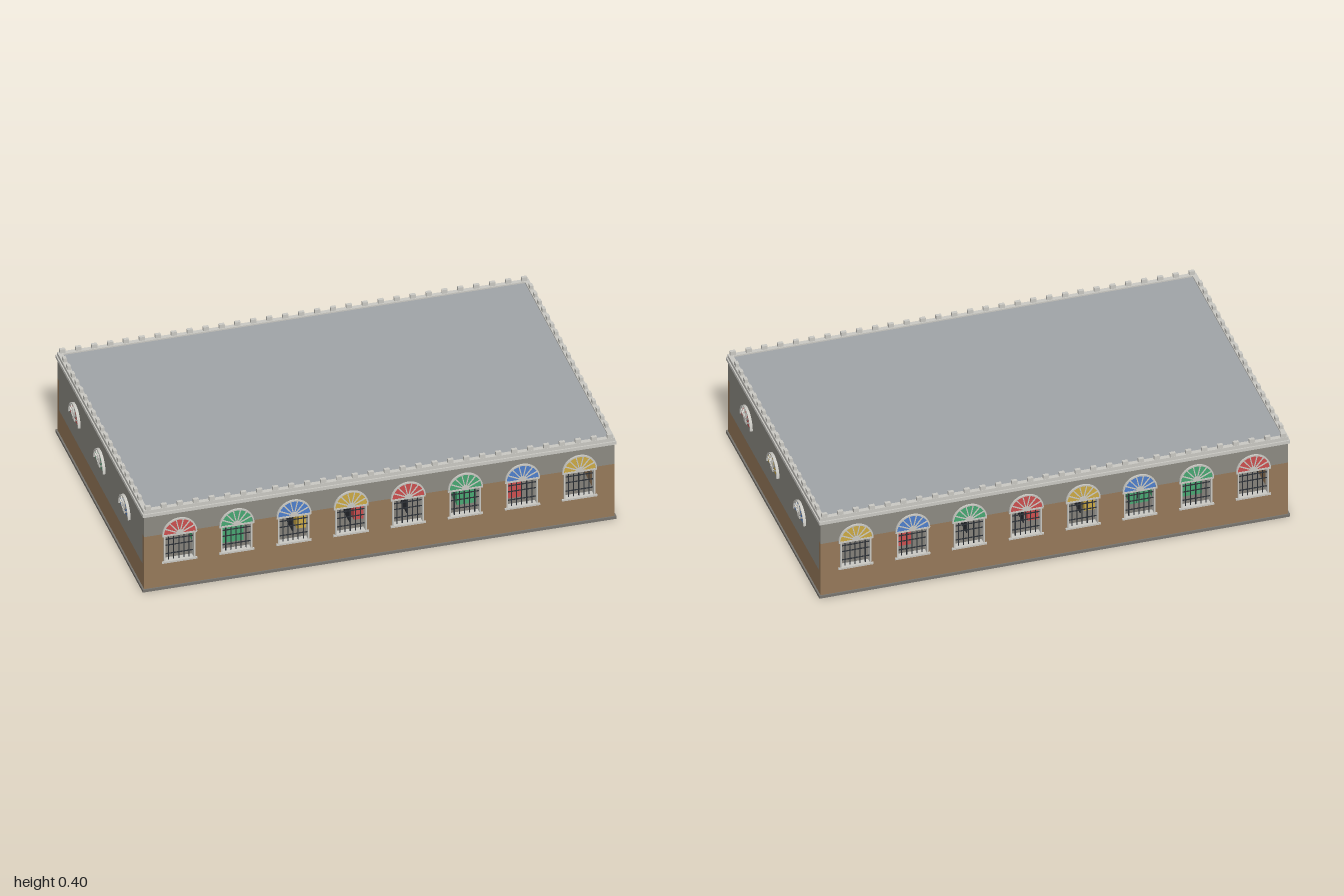
import * as THREE from 'three';

const mat = (name, color) => new THREE.MeshStandardMaterial({ name, color });

export function createModel() {
  const M = {
    stone: mat('grey stone', 0x8c8a82),
    brown: mat('brown plaster', 0x96795a),
    trim: mat('pale trim', 0xcac9c3),
    roof: mat('roof grey', 0xa0a4a8),
    base: mat('foundation grey', 0x77746e),
    iron: mat('dark iron', 0x2e3238),
    red: mat('red glass', 0xcc4f4f),
    green: mat('green glass', 0x48a872),
    blue: mat('blue glass', 0x4f80cc),
    yellow: mat('yellow glass', 0xccaa45),
  };
  const model = new THREE.Group();
  model.name = 'hall';

  const box = (parent, name, m, w, h, d, x, y, z) => {
    const mesh = new THREE.Mesh(new THREE.BoxGeometry(w, h, d), m);
    mesh.name = name;
    mesh.position.set(x, y, z);
    parent.add(mesh);
    return mesh;
  };
  const extrude = (parent, name, m, shape, depth, z) => {
    const geo = new THREE.ExtrudeGeometry(shape, { depth, bevelEnabled: false, curveSegments: 16 });
    const mesh = new THREE.Mesh(geo, m);
    mesh.name = name;
    mesh.position.z = z;
    parent.add(mesh);
    return mesh;
  };
  const rect = (Type, x0, y0, x1, y1) => {
    const p = new Type();
    p.moveTo(x0, y0);
    p.lineTo(x1, y0);
    p.lineTo(x1, y1);
    p.lineTo(x0, y1);
    p.closePath();
    return p;
  };

  const W = 0.988, D = 0.625, T = 0.025;
  const centres = [-0.84, -0.6, -0.36, -0.12, 0.12, 0.36, 0.6, 0.84];
  const tints = ['red', 'green', 'blue', 'yellow'];

  // Half-round coloured fanlight with rim, spokes and hub, facing +z
  const fanlight = (tint, r) => {
    const g = new THREE.Group();
    g.name = 'fanlight';
    const glass = new THREE.Shape();
    glass.absarc(0, 0, r - 0.003, 0, Math.PI, false);
    glass.closePath();
    extrude(g, 'fanGlass', M[tint], glass, 0.004, 0);
    const rim = new THREE.Shape();
    rim.absarc(0, 0, r, 0, Math.PI, false);
    rim.absarc(0, 0, r - 0.006, Math.PI, 0, true);
    rim.closePath();
    extrude(g, 'fanRim', M.trim, rim, 0.008, 0);
    const hub = new THREE.Shape();
    hub.absarc(0, 0, 0.016, 0, Math.PI, false);
    hub.closePath();
    extrude(g, 'fanHub', M.trim, hub, 0.008, 0);
    for (let i = 1; i < 7; i++) {
      const a = (i * Math.PI) / 7;
      const s = box(g, 'fanSpoke', M.trim, r - 0.004, 0.0045, 0.007,
        Math.cos(a) * r / 2, Math.sin(a) * r / 2, 0.0035);
      s.rotation.z = a;
    }
    return g;
  };

  // Barred window with frame and sills, facing +z
  const barredWindow = (tint) => {
    const g = new THREE.Group();
    g.name = 'window';
    for (const s of [-1, 1]) box(g, 'jamb', M.trim, 0.006, 0.12, 0.029, s * 0.063, 0.19, -0.0105);
    box(g, 'sill', M.trim, 0.148, 0.008, 0.032, 0, 0.127, -0.009);
    box(g, 'lintel', M.trim, 0.146, 0.008, 0.031, 0, 0.253, -0.0095);
    for (let i = -2; i <= 2; i++) box(g, 'bar', M.iron, 0.0035, 0.118, 0.0035, i * 0.0215, 0.19, -0.008);
    for (const y of [0.16, 0.2, 0.228]) box(g, 'crossBar', M.iron, 0.122, 0.0035, 0.0035, 0, y, -0.008);
    const fan = fanlight(tint, 0.073);
    fan.position.y = 0.256;
    g.add(fan);
    return g;
  };

  // Foundation and roof
  box(model, 'foundation', M.base, 1.99, 0.012, 1.262, 0, 0.006, 0);
  box(model, 'roof', M.roof, 1.95, 0.022, 1.23, 0, 0.367, 0);

  // Front and back walls, mirrored by turning
  for (const s of [1, -1]) {
    const side = new THREE.Group();
    side.name = s > 0 ? 'frontSide' : 'backSide';
    side.rotation.y = s > 0 ? 0 : Math.PI;
    const wall = rect(THREE.Shape, -W, 0.012, W, 0.26);
    centres.forEach((x) => wall.holes.push(rect(THREE.Path, x - 0.064, 0.128, x + 0.064, 0.252)));
    extrude(side, 'lowerWall', M.brown, wall, T, D - T);
    box(side, 'upperWall', M.stone, 2 * W, 0.1, T, 0, 0.31, D - T / 2);
    centres.forEach((x, i) => {
      const win = barredWindow(tints[s > 0 ? i % 4 : 3 - (i % 4)]);
      win.position.set(x, 0, D);
      side.add(win);
    });
    box(side, 'cornice', M.trim, 1.99, 0.014, 0.03, 0, 0.362, D - 0.009);
    box(side, 'parapet', M.trim, 1.98, 0.015, 0.02, 0, 0.3765, D - 0.01);
    for (let i = 0; i < 30; i++)
      box(side, 'merlon', M.trim, 0.023, 0.018, 0.014, -0.97 + i * 0.0669, 0.392, D - 0.008);
    model.add(side);
  }

  // End walls
  const endTints = { 1: ['red', 'yellow', 'blue'], '-1': ['blue', 'green', 'red'] };
  for (const s of [1, -1]) {
    const end = new THREE.Group();
    end.name = s > 0 ? 'leftEnd' : 'rightEnd';
    const x = s * (W - T / 2);
    box(end, 'lowerEndWall', M.brown, T, 0.108, 2 * (D - T), x, 0.066, 0);
    box(end, 'upperEndWall', M.stone, T, 0.24, 2 * (D - T), x, 0.24, 0);
    box(end, 'endCornice', M.trim, 0.03, 0.014, 1.262, s * 0.98, 0.362, 0);
    box(end, 'endParapet', M.trim, 0.02, 0.015, 1.25, s * 0.98, 0.3765, 0);
    for (let i = 0; i < 19; i++)
      box(end, 'endMerlon', M.trim, 0.014, 0.018, 0.022, s * 0.98, 0.392, -0.552 + i * 0.0602);
    [0.36, 0, -0.36].forEach((z, i) => {
      const fan = fanlight(endTints[s][i], 0.071);
      fan.scale.z = 1.5;
      fan.rotation.y = s * Math.PI / 2;
      fan.position.set(s * W, 0.224, z);
      end.add(fan);
    });
    model.add(end);
  }

  // Counters and tables inside
  for (const z of [-0.33, 0, 0.33]) {
    box(model, 'greenCounter', M.green, 0.2, 0.158, 0.1, -0.6, 0.091, z);
    box(model, 'redCounter', M.red, 0.14, 0.158, 0.1, 0.6, 0.091, z);
    for (const x of [-0.36, -0.12, 0.12, 0.36]) {
      box(model, 'tableTop', M.iron, 0.16, 0.004, 0.1, x, 0.153, z);
      box(model, 'tableShelf', M.iron, 0.16, 0.004, 0.1, x, 0.134, z);
      for (const s of [-1, 1]) box(model, 'tableLeg', M.iron, 0.005, 0.14, 0.08, x + s * 0.07, 0.082, z);
    }
  }
  for (const z of [-0.33, 0.33]) {
    box(model, 'greenBench', M.green, 0.08, 0.1, 0.08, 0.44 * Math.sign(z), 0.062, z);
    box(model, 'yellowBench', M.yellow, 0.06, 0.1, 0.06, -0.24, 0.062, z);
    box(model, 'redBench', M.red, 0.06, 0.1, 0.06, 0, 0.062, z);
  }
  return model;
}
